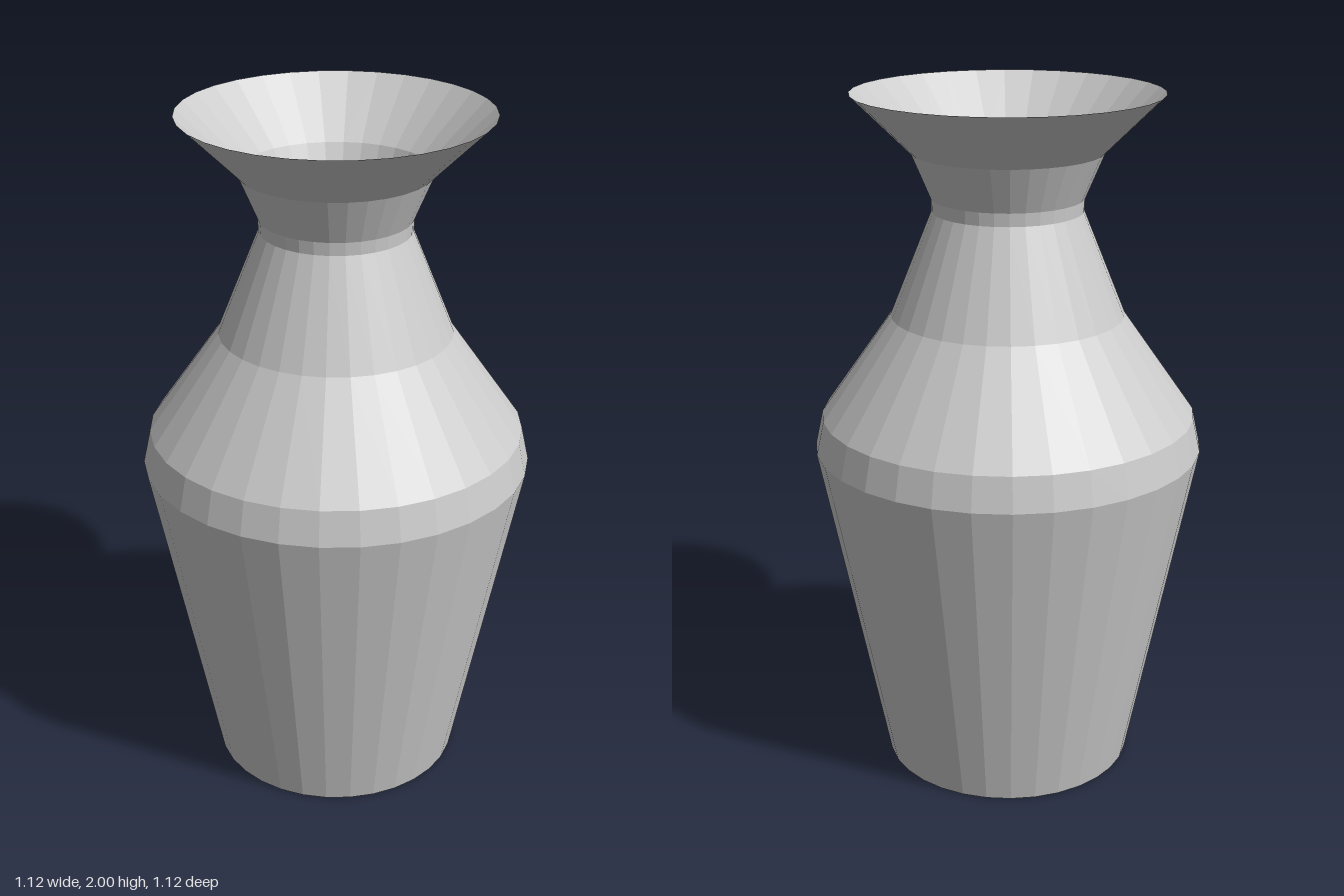
import * as THREE from 'three';

const SIDES = 32;

// Radius and height of each ring, from foot to rim
const PROFILE = [
  [0.366, 0], [0.561, 0.985], [0.539, 1.083], [0.334, 1.375],
  [0.214, 1.672], [0.216, 1.709], [0.27, 1.837], [0.435, 2],
];

export function createModel() {
  const vase = new THREE.Group();
  vase.name = 'vase';
  const material = new THREE.MeshStandardMaterial({
    color: 0xcccccc, flatShading: true, side: THREE.DoubleSide,
  });

  // Thin wall, open at the flared rim
  const points = PROFILE.map(([r, y]) => new THREE.Vector2(r, y));
  const wall = new THREE.Mesh(new THREE.LatheGeometry(points, SIDES), material);
  wall.name = 'wall';

  // Flat floor closing the foot, facing down
  const floor = new THREE.Mesh(new THREE.CircleGeometry(PROFILE[0][0], SIDES), material);
  floor.name = 'base';
  floor.rotation.x = Math.PI / 2;

  vase.add(wall, floor);
  return vase;
}
